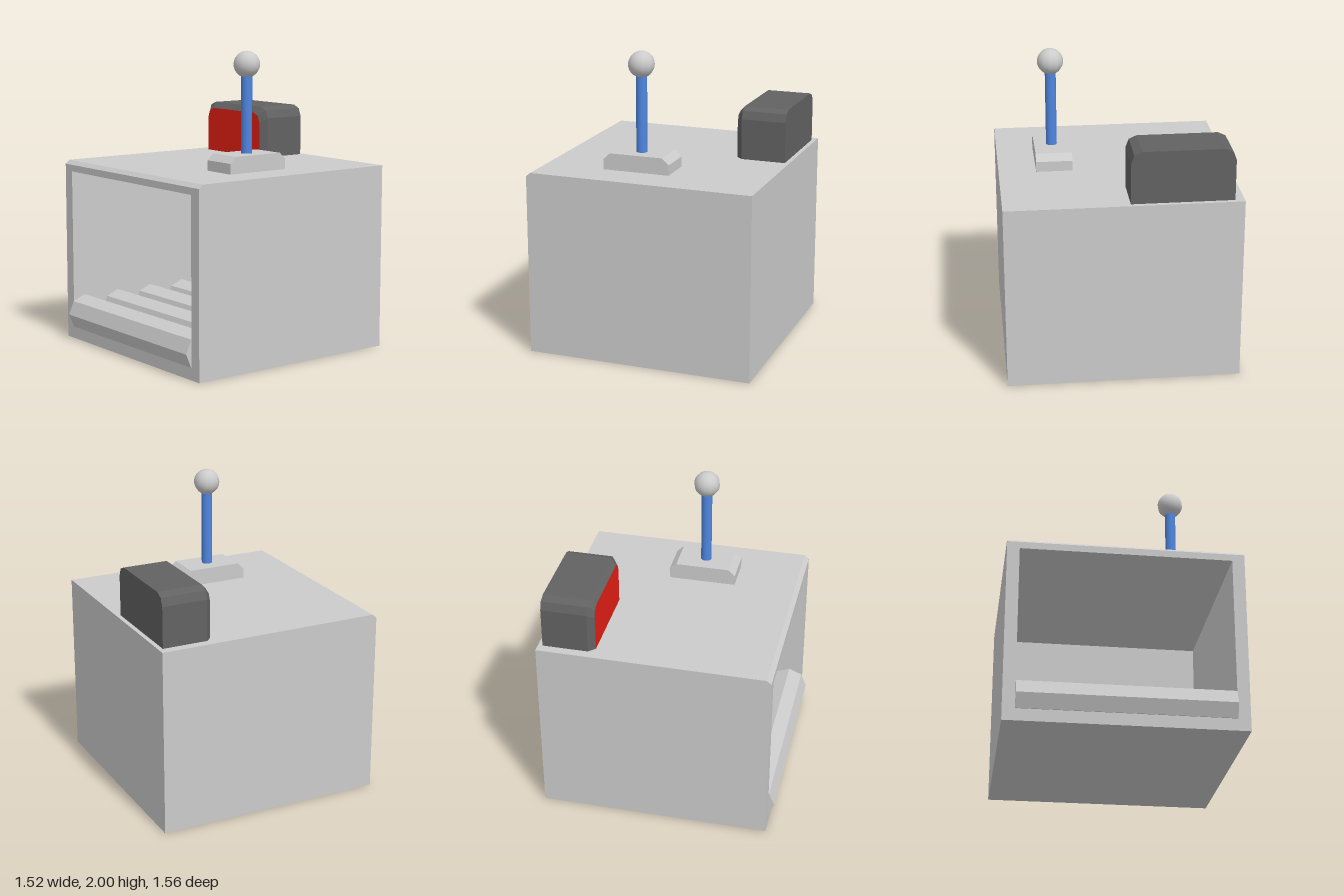
import * as THREE from 'three';

const material = (color, flatShading = true) => new THREE.MeshStandardMaterial({ color, flatShading });

function add(parent, name, geometry, mat, x = 0, y = 0, z = 0) {
  const mesh = new THREE.Mesh(geometry, mat);
  mesh.name = name;
  mesh.position.set(x, y, z);
  parent.add(mesh);
  return mesh;
}

const shapeOf = points => new THREE.Shape(points.map(([x, y]) => new THREE.Vector2(x, y)));

// Extrudes an x-y outline through a list of z positions; adjust(v, ring) may move vertices
function extrudeRings(shape, zs, adjust) {
  const steps = zs.length - 1;
  const geometry = new THREE.ExtrudeGeometry(shape, { depth: steps, steps, bevelEnabled: false });
  const pos = geometry.attributes.position;
  const v = new THREE.Vector3();
  for (let i = 0; i < pos.count; i++) {
    v.fromBufferAttribute(pos, i);
    const ring = Math.round(v.z);
    v.z = zs[ring];
    adjust(v, ring);
    pos.setXYZ(i, v.x, v.y, v.z);
  }
  geometry.computeVertexNormals();
  return geometry;
}

export function createModel() {
  const group = new THREE.Group();
  const grey = material(0xcccccc);
  const dark = material(0x626262);

  // Hollow housing with its front top edge bevelled, closed by a back panel
  const frame = shapeOf([[-0.76, 0], [0.76, 0], [0.76, 1.23], [-0.76, 1.23]]);
  frame.holes.push(shapeOf([[-0.68, 0.08], [-0.68, 1.16], [0.68, 1.16], [0.68, 0.08]]));
  const housing = extrudeRings(frame, [-0.69, 0.71, 0.74], (v, ring) => {
    if (ring === 2 && v.y > 1.2) v.y = 1.205;
  });
  add(group, 'housing', housing, grey);
  add(group, 'backPanel', new THREE.BoxGeometry(1.52, 1.23, 0.09), grey, 0, 0.615, -0.735);

  // Octagonal conveyor rollers sunk into the floor
  const rollers = new THREE.Group();
  rollers.name = 'rollers';
  group.add(rollers);
  const rollerGeometry = new THREE.CylinderGeometry(0.127, 0.127, 1.36, 8).rotateZ(Math.PI / 2);
  for (let i = 0; i < 5; i++) {
    add(rollers, `roller${i + 1}`, rollerGeometry, grey, 0, 0.17, 0.653 - i * 0.276);
  }

  // Display box with clipped top corners and a bevelled front
  const outline = (w, top) => shapeOf([
    [-w, 0], [w, 0], [w, top - 0.075], [w - 0.02, top - 0.022], [w - 0.07, top],
    [-w + 0.07, top], [-w + 0.02, top - 0.022], [-w, top - 0.075],
  ]);
  const casing = extrudeRings(outline(0.33, 0.345), [-0.75, -0.45, -0.41], (v, ring) => {
    if (ring === 2) {
      v.x *= 0.29 / 0.33;
      v.y *= 0.305 / 0.345;
    }
  });
  add(group, 'displayCasing', casing, dark, -0.37, 1.23, 0);
  const screen = outline(0.33, 0.345);
  const screenGeometry = new THREE.ShapeGeometry(screen).scale(0.29 / 0.33, 0.305 / 0.345, 1);
  add(group, 'displayScreen', screenGeometry, material(0xe72014), -0.37, 1.23, -0.408);

  // Lever: chamfered base, rod and ball knob
  const lever = new THREE.Group();
  lever.name = 'lever';
  lever.position.set(0.393, 1.23, 0.08);
  group.add(lever);
  const baseProfile = shapeOf([
    [-0.225, 0], [0.225, 0], [0.225, 0.068], [0.18, 0.11], [-0.18, 0.11], [-0.225, 0.068],
  ]);
  const base = new THREE.ExtrudeGeometry(baseProfile, { depth: 0.24, bevelEnabled: false })
    .translate(0, 0, -0.12).rotateY(Math.PI / 2);
  add(lever, 'leverBase', base, grey);
  const rod = new THREE.CylinderGeometry(0.036, 0.036, 0.52, 16);
  add(lever, 'leverRod', rod, material(0x4f86e0, false), 0.003, 0.36, 0.003);
  const knob = new THREE.SphereGeometry(0.086, 12, 16);
  add(lever, 'leverKnob', knob, material(0xcccccc, false), 0.003, 0.684, 0.003);

  return group;
}
